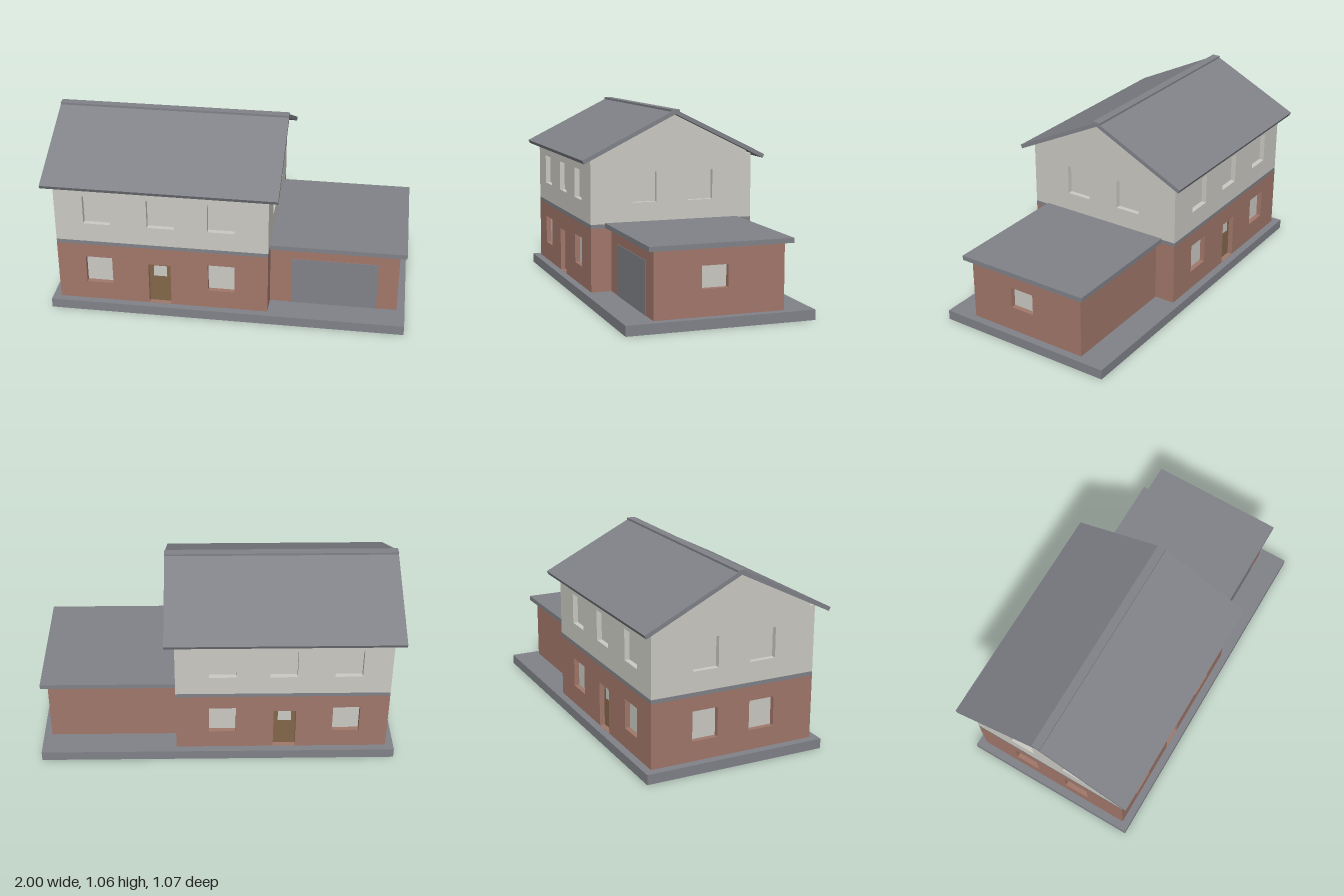
import * as THREE from 'three';

const mat = (name, color) => new THREE.MeshStandardMaterial({ name, color });

export function createModel() {
  const brick = mat('brick', 0xa1776a);
  const render = mat('cream render', 0xcac9c3);
  const grey = mat('slate grey', 0x808288);
  const wood = mat('door wood', 0x83674a);
  const glass = mat('pale glass', 0xcac9c3);
  const model = new THREE.Group();
  model.name = 'house';
  const D = 0.03; // wall thickness, also the depth of the reveals

  // Box given by its limits on each axis
  function box(parent, name, material, x0, x1, y0, y1, z0, z1) {
    const m = new THREE.Mesh(new THREE.BoxGeometry(x1 - x0, y1 - y0, z1 - z0), material);
    m.position.set((x0 + x1) / 2, (y0 + y1) / 2, (z0 + z1) / 2);
    m.name = name;
    parent.add(m);
    return m;
  }

  // Wall facing local +z, turned by angle, with recessed panes in its openings
  function wall(name, material, outline, openings, angle, cx, dist) {
    const g = new THREE.Group();
    g.name = name;
    g.position.x = cx;
    g.rotation.y = angle;
    const shape = new THREE.Shape(outline.map(p => new THREE.Vector2(...p)));
    for (const o of openings) {
      const [a, b] = [o.c - o.w / 2, o.c + o.w / 2];
      shape.holes.push(new THREE.Path([[a, o.y0], [a, o.y1], [b, o.y1], [b, o.y0]]
        .map(p => new THREE.Vector2(...p))));
      box(g, o.door ? 'door' : 'windowPane', o.door ? wood : glass,
        a - 0.004, b + 0.004, o.y0 - 0.001, o.y1 + 0.004, dist - D - 0.008, dist - D + 0.001);
      if (o.door) {
        box(g, 'doorWindow', glass, o.c - 0.037, o.c + 0.037, 0.22, 0.285, dist - D, dist - D + 0.004);
      }
    }
    const panel = new THREE.Mesh(
      new THREE.ExtrudeGeometry(shape, { depth: D, bevelEnabled: false }), material);
    panel.position.z = dist - D;
    panel.name = name + 'Panel';
    g.add(panel);
    model.add(g);
  }
  const rect = (h, y0, y1) => [[-h, y0], [h, y0], [h, y1], [-h, y1]];
  const win = (c, y0, y1, w = 0.15) => ({ c, w, y0, y1 });

  // Foundation slab
  box(model, 'foundation', grey, -0.99, 1, 0, 0.055, -0.515, 0.515);

  // Main house
  const X0 = -0.945, X1 = 0.24, Z = 0.473, CX = (X0 + X1) / 2, H = (X1 - X0) / 2;
  const roofY = z => 1.031 - 0.493 * Math.abs(z);
  const columns = [-0.71, -0.355, -0.02].map(x => x - CX);
  for (const [side, s, angle] of [['front', 1, 0], ['back', -1, Math.PI]]) {
    const door = { c: s * (-0.3675 - CX), w: 0.125, y0: 0.056, y1: 0.308, door: true };
    wall(side + 'LowerWall', brick, rect(H, 0.055, 0.41),
      [win(s * columns[0], 0.165, 0.33), door, win(s * columns[2], 0.165, 0.33)], angle, CX, Z);
    wall(side + 'UpperWall', render, rect(H, 0.432, roofY(Z)),
      columns.map(c => win(s * c, 0.543, 0.713)), angle, CX, Z);
  }
  const zi = Z - D;
  const gable = [[-zi, 0.432], [zi, 0.432], [zi, roofY(zi)], [0, 1.031], [-zi, roofY(zi)]];
  for (const [side, s] of [['left', 1], ['right', -1]]) {
    const pair = (y0, y1) => [-0.166, 0.166].map(c => win(c, y0, y1, 0.147));
    wall(side + 'LowerWall', brick, rect(zi, 0.055, 0.41),
      s > 0 ? [] : pair(0.165, 0.33), s * Math.PI / 2, CX, H);
    wall(side + 'GableWall', render, gable, pair(0.544, 0.712), s * Math.PI / 2, CX, H);
  }
  box(model, 'floorBand', grey, X0, X1, 0.41, 0.432, -Z, Z);

  // Pitched roof: two sloping sheets and a ridge cap
  for (const s of [1, -1]) {
    const pts = [[0, 1.031], [0.523, 0.773], [0.533, 0.793], [0, 1.056]];
    const shape = new THREE.Shape(pts.map(([z, y]) => new THREE.Vector2(s * z, y)));
    const sheet = new THREE.Mesh(
      new THREE.ExtrudeGeometry(shape, { depth: 1.295, bevelEnabled: false }), grey);
    sheet.rotation.y = Math.PI / 2;
    sheet.position.x = -1;
    sheet.name = 'roofSlope';
    model.add(sheet);
  }
  box(model, 'ridgeCap', grey, -1, 0.295, 1.035, 1.056, -0.024, 0.024);

  // Garage
  const GX = 0.955, GZ = 0.356;
  const gcx = (X1 + GX) / 2, gh = (GX - X1) / 2;
  wall('garageFrontWall', brick, rect(gh, 0.055, 0.412), [], 0, gcx, GZ);
  wall('garageBackWall', brick, rect(gh, 0.055, 0.412), [], Math.PI, gcx, GZ);
  wall('garageSideWall', brick, rect(GZ - D, 0.055, 0.412),
    [win(-0.0265, 0.198, 0.318, 0.143)], Math.PI / 2, gcx, gh);
  box(model, 'garageDoor', grey, 0.36, 0.84, 0.055, 0.34, GZ - 0.002, GZ + 0.003);
  box(model, 'garageRoof', grey, X1, 0.992, 0.412, 0.438, -0.391, 0.391);
  return model;
}
